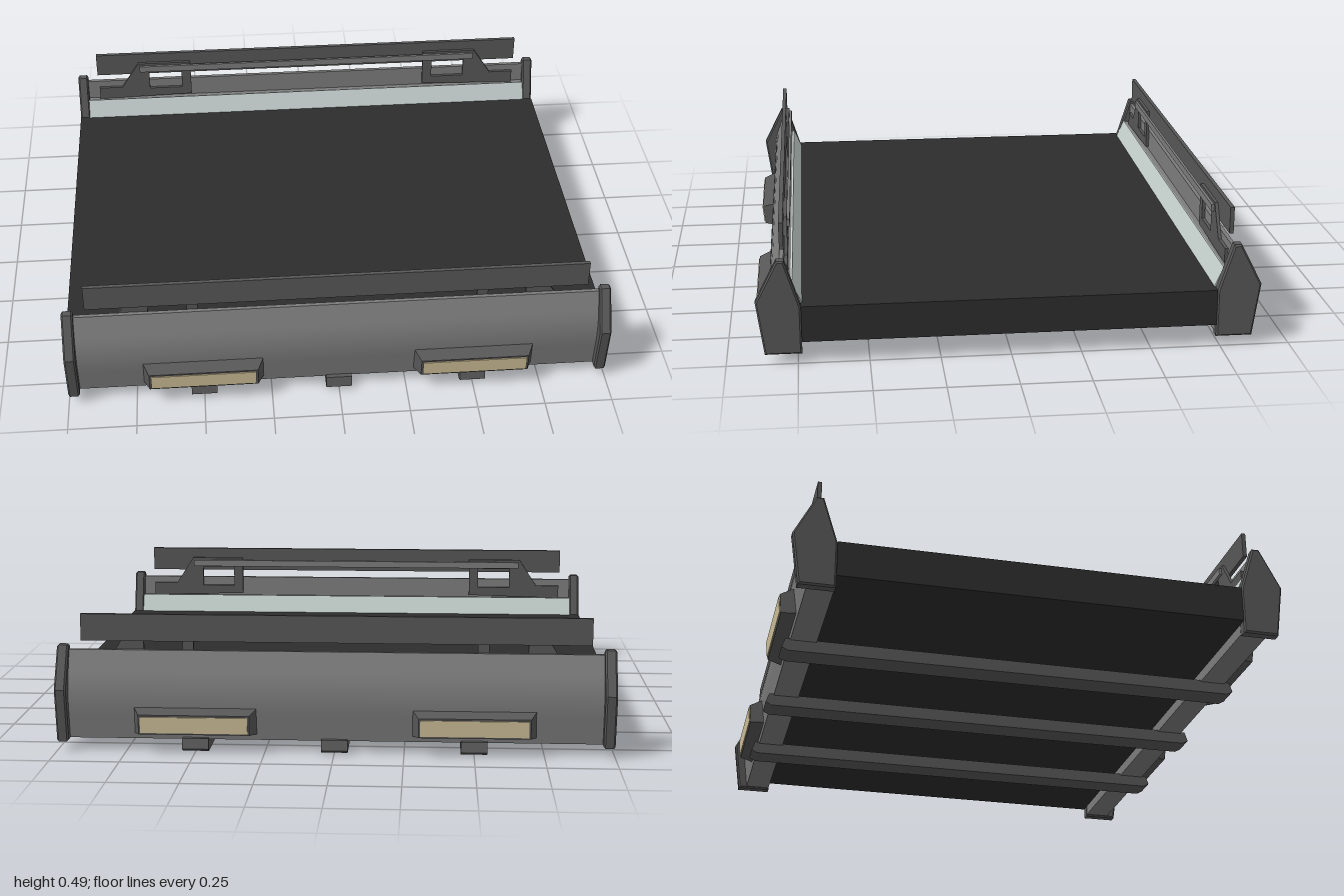
import * as THREE from 'three';
import { toCreasedNormals } from 'three/addons/utils/BufferGeometryUtils.js';

const material = (name, color) => {
  const m = new THREE.MeshStandardMaterial({ color });
  m.name = name;
  return m;
};

export function createModel() {
  const belt = material('belt rubber', 0x2d2d2d);
  const frame = material('frame metal', 0x7c7c7c);
  const dark = material('dark metal', 0x575757);
  const liner = material('pale liner', 0xc3cecb);
  const glow = material('lamp cream', 0xd3c39c);

  const model = new THREE.Group();
  model.name = 'conveyorSection';

  const add = (parent, name, geometry, mat, x = 0, y = 0, z = 0) => {
    const mesh = new THREE.Mesh(geometry, mat);
    mesh.name = name;
    mesh.position.set(x, y, z);
    parent.add(mesh);
    return mesh;
  };
  const box = (parent, name, mat, [x0, x1], [y0, y1], [z0, z1]) =>
    add(parent, name, new THREE.BoxGeometry(x1 - x0, y1 - y0, z1 - z0), mat,
      (x0 + x1) / 2, (y0 + y1) / 2, (z0 + z1) / 2);
  const shapeOf = (points) => new THREE.Shape(points.map(([a, b]) => new THREE.Vector2(a, b)));

  // Extrude a (z, y) profile along x, centred on x = 0
  const alongX = (points, length, bevel = 0) => {
    const g = new THREE.ExtrudeGeometry(shapeOf(points), {
      depth: length - 2 * bevel, bevelEnabled: bevel > 0, bevelSegments: 1,
      bevelSize: bevel, bevelThickness: bevel, bevelOffset: -bevel,
    });
    g.translate(0, 0, -length / 2 + bevel);
    g.rotateY(-Math.PI / 2);
    return g;
  };

  // Box whose +z face is inset to make sloping sides
  const frustum = (w, h, d, inset) => {
    const g = new THREE.BoxGeometry(w, h, d).toNonIndexed();
    const p = g.attributes.position;
    for (let i = 0; i < p.count; i++) {
      if (p.getZ(i) > 0) {
        p.setX(i, p.getX(i) - Math.sign(p.getX(i)) * inset);
        p.setY(i, p.getY(i) - Math.sign(p.getY(i)) * inset * 0.55);
      }
    }
    g.computeVertexNormals();
    return g;
  };

  // Belt slab and the cross bars beneath it
  box(model, 'belt', belt, [-1, 1], [0.08, 0.212], [-0.735, 0.735]);
  const barProfile = [[-0.84, 0], [0.84, 0], [0.862, 0.012], [0.85, 0.048], [-0.85, 0.048], [-0.862, 0.012]];
  for (const x of [-0.5, 0, 0.5]) add(model, 'crossBar', alongX(barProfile, 0.095), dark, x);

  // Side rail section: rounded outer shoulder, upright inner wall
  const shoulder = new THREE.QuadraticBezierCurve(
    new THREE.Vector2(0.842, 0.12), new THREE.Vector2(0.86, 0.225), new THREE.Vector2(0.825, 0.305));
  const railProfile = [
    [0.736, 0.042], [0.832, 0.042],
    ...shoulder.getPoints(8).map((p) => [p.x, p.y]),
    [0.805, 0.362], [0.79, 0.362], [0.788, 0.28], [0.764, 0.278], [0.736, 0.205],
  ];
  const railGeometry = toCreasedNormals(alongX(railProfile, 1.92), 0.5);
  const linerGeometry = alongX([[0.736, 0.205], [0.768, 0.28], [0.762, 0.283], [0.731, 0.212]], 1.92);
  const capGeometry = alongX(
    [[0.735, 0.035], [0.865, 0.035], [0.892, 0.23], [0.815, 0.38], [0.788, 0.38], [0.735, 0.21]], 0.042, 0.006);

  // Guide bracket with a window and a sloping shoulder
  const bracketShape = shapeOf([
    [0.51, 0.29], [0.91, 0.28], [0.91, 0.335], [0.81, 0.335], [0.735, 0.45], [0.51, 0.45]]);
  bracketShape.holes.push(new THREE.Path(
    [[0.55, 0.325], [0.55, 0.41], [0.69, 0.41], [0.69, 0.325]].map(([a, b]) => new THREE.Vector2(a, b))));
  const bracketGeometry = new THREE.ExtrudeGeometry(bracketShape, { depth: 0.012, bevelEnabled: false });
  const mirroredBracket = bracketGeometry.clone().rotateY(Math.PI).translate(0, 0, 0.012);

  // The same side assembly serves front and back
  const buildSide = (name) => {
    const side = new THREE.Group();
    side.name = name;
    add(side, 'sideRail', railGeometry, frame);
    add(side, 'beltLiner', linerGeometry, liner);
    box(side, 'guidePlate', dark, [-0.915, 0.915], [0.394, 0.492], [0.788, 0.803]);
    box(side, 'guideBar', frame, [-0.73, 0.73], [0.413, 0.44], [0.766, 0.776]);
    add(side, 'guideBracket', bracketGeometry, dark, 0, 0, 0.776);
    add(side, 'guideBracket', mirroredBracket, dark, 0, 0, 0.776);
    for (const s of [-1, 1]) {
      add(side, 'endCap', capGeometry, dark, s * 0.979);

      // Lamp leaning with the rail face
      const lamp = new THREE.Group();
      lamp.name = 'lamp';
      lamp.position.set(s * 0.5, 0.11, 0.86);
      lamp.rotation.x = 0.1;
      add(lamp, 'lampHousing', frustum(0.45, 0.102, 0.06, 0.026), dark);
      add(lamp, 'lampLens', new THREE.BoxGeometry(0.385, 0.06, 0.006), glow, 0, 0, 0.031);
      side.add(lamp);
    }
    model.add(side);
    return side;
  };
  buildSide('frontSide');
  buildSide('backSide').rotation.y = Math.PI;

  return model;
}
